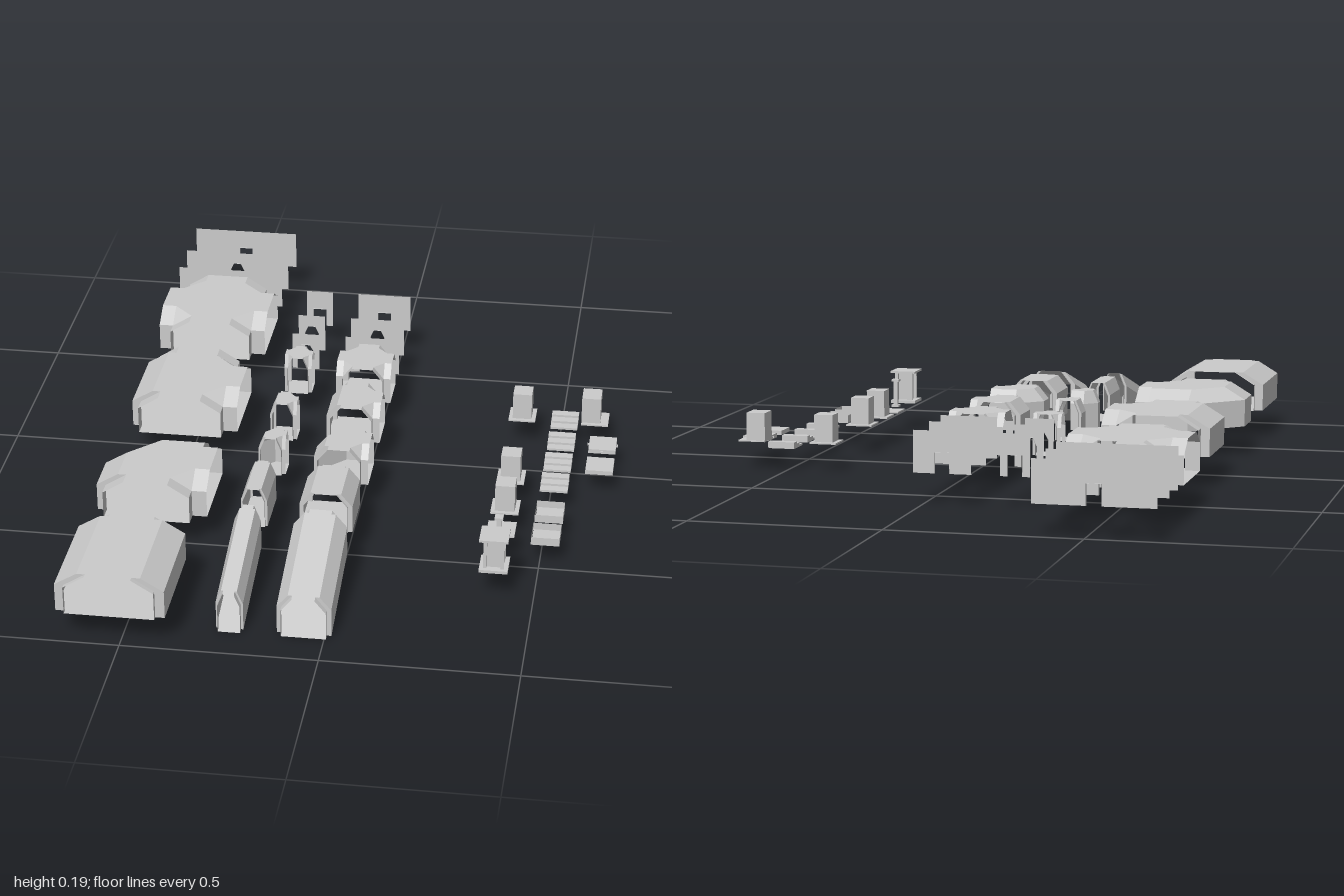
import * as THREE from 'three';

const grey = new THREE.MeshStandardMaterial({ color: 0xcccccc, flatShading: true, side: THREE.DoubleSide });
const Y0 = 0.08, Y1 = 0.155, Y2 = 0.19;            // floor, spring line, roof
const H = 0.153, B = 0.138, W = 0.114, C = 0.058, K = 0.08, E = 0.14;

// Flat-sided mesh from a list of convex polygons
function polyMesh(name, polys) {
  const v = [];
  for (const p of polys)
    for (let i = 1; i < p.length - 1; i++) v.push(...p[0], ...p[i], ...p[i + 1]);
  const g = new THREE.BufferGeometry();
  g.setAttribute('position', new THREE.Float32BufferAttribute(v, 3));
  g.computeVertexNormals();
  const m = new THREE.Mesh(g, grey);
  m.name = name;
  return m;
}

// Plan loops: [outerX, outerZ, innerX, innerZ, startsAnOpening]
const cross = [];
for (let q = 0; q < 4; q++) {
  const c = Math.round(Math.cos(q * Math.PI / 2)), s = Math.round(Math.sin(q * Math.PI / 2));
  const turn = (x, z) => [x * c - z * s, x * s + z * c];
  cross.push([...turn(W, -W), ...turn(W, -C), 1], [...turn(W, W), ...turn(W, C), 0]);
}
const tee = [
  ...cross.slice(0, 4),
  [-B, W, -K, W, 0], [-B, -W, -K, -W, 0],
  ...cross.slice(6),
];
const corner = [
  ...cross.slice(0, 4),
  [-B, W, -K, W, 0], [-B, 0, -K, 0, 0], [0, -B, 0, -K, 0], [W, -B, W, -K, 0],
];
const straight = [
  [B, -E, K, -E, 0], [B, E, K, E, 0],
  [W, E, C, E, 1], [-W, E, -C, E, 0],
  [-B, E, -K, E, 0], [-B, -E, -K, -E, 0],
  [-W, -E, -C, -E, 1], [W, -E, C, -E, 0],
];

// Vaulted passage: walls, sloped shoulders, roof, floor and short mouth at each opening
function chamber(name, loop, x, z, sx, sz = sx, drop = 0) {
  const P = (px, y, pz) => [x + px * sx, y - drop * (pz + H) / (2 * H), z + pz * sz];
  const polys = [
    loop.map(p => P(p[2], Y2, p[3])),
    loop.map(p => P(p[0], Y0, p[1])),
  ];
  loop.forEach((a, i) => {
    const b = loop[(i + 1) % loop.length];
    if (!a[4]) {
      polys.push([P(a[0], Y0, a[1]), P(b[0], Y0, b[1]), P(b[0], Y1, b[1]), P(a[0], Y1, a[1])]);
      polys.push([P(a[0], Y1, a[1]), P(b[0], Y1, b[1]), P(b[2], Y2, b[3]), P(a[2], Y2, a[3])]);
      return;
    }
    const alongX = Math.abs(a[0] - b[0]) < 1e-6;
    const out = p => alongX ? [Math.sign(p[0]) * H, p[1]] : [p[0], Math.sign(p[1]) * H];
    const ring = [[a[0], Y0, a[1]], [a[0], Y1, a[1]], [a[2], Y2, a[3]],
      [b[2], Y2, b[3]], [b[0], Y1, b[1]], [b[0], Y0, b[1]]];
    ring.forEach((p, j) => {
      const n = ring[(j + 1) % 6], po = out([p[0], p[2]]), no = out([n[0], n[2]]);
      polys.push([P(...p), P(...n), P(no[0], n[1], no[1]), P(po[0], p[1], po[1])]);
    });
  });
  return polyMesh(name, polys);
}

// Thin end wall with a framed doorway
function doorWall(name, x, z, width, half, height, arched) {
  const group = new THREE.Group();
  group.name = name;
  const h = half, t = height;
  const door = arched
    ? [[-h, 0], [-h, t * 0.72], [-h * 0.5, t], [h * 0.5, t], [h, t * 0.72], [h, 0]]
    : [[-h, 0], [-h, t], [h, t], [h, 0]];
  const pts = [[-width / 2, 0], ...door, [width / 2, 0], [width / 2, 0.11], [-width / 2, 0.11]];
  const panel = new THREE.Mesh(new THREE.ShapeGeometry(
    new THREE.Shape(pts.map(p => new THREE.Vector2(...p)))), grey);
  panel.name = 'wallPanel';
  const d = 0.004;
  const frame = polyMesh('doorFrame', door.slice(1).map((b, i) => {
    const a = door[i];
    return [[...a, -d], [...b, -d], [...b, d], [...a, d]];
  }));
  group.add(panel, frame);
  group.position.set(x, Y0, z);
  return group;
}

function box(name, w, h, d, x, y, z) {
  const m = new THREE.Mesh(new THREE.BoxGeometry(w, h, d), grey);
  m.name = name;
  m.position.set(x, y + h / 2, z);
  return m;
}

export function createModel() {
  const model = new THREE.Group();
  model.name = 'tunnelKit';

  // Large chambers
  model.add(
    chamber('largeCrossing', cross, -0.523, -0.537, 1),
    chamber('largeJunction', tee, -0.523, -0.08, 1),
    chamber('largeCorner', corner, -0.523, 0.377, 1),
    chamber('largeStraight', straight, -0.523, 0.843, 1));

  // Wide and narrow passages share the plan at half and quarter scale
  for (const [label, x, s, zs] of [
    ['wide', -0.052, 0.5, [-0.241, -0.013, 0.215]],
    ['narrow', -0.24, 0.25, [-0.243, 0.026, 0.217]],
  ]) {
    model.add(
      chamber(label + 'Crossing', cross, x, zs[0], s),
      chamber(label + 'Junction', tee, x, zs[1], s),
      chamber(label + 'Corner', corner, x, zs[2], s),
      chamber(label + 'Straight', straight, x, 0.447, s, 0.5),
      chamber(label + 'Ramp', straight, x, 0.752, s, 1, 0.08));
  }

  // Three door walls for each passage size
  for (const [label, x, width, z, wideHalf] of [
    ['large', -0.523, 0.307, [-0.73, -0.845, -0.998], 0.036],
    ['wide', -0.05, 0.153, [-0.355, -0.47, -0.625], 0.036],
    ['narrow', -0.24, 0.077, [-0.355, -0.47, -0.625], 0.024],
  ]) {
    model.add(
      doorWall(label + 'WallBroadArch', x, z[0], width, wideHalf, 0.077, true),
      doorWall(label + 'WallSlimArch', x, z[1], width, 0.02, 0.077, true),
      doorWall(label + 'WallDoor', x, z[2], width, 0.019, 0.055, false));
  }

  // Pillar with base, capital and corner shafts
  const pillar = new THREE.Group();
  pillar.name = 'pillar';
  pillar.add(box('base', 0.074, 0.008, 0.074, 0, 0, 0), box('capital', 0.074, 0.006, 0.074, 0, 0.089, 0),
    box('core', 0.036, 0.09, 0.036, 0, 0, 0));
  for (const i of [-1, 1]) for (const j of [-1, 1])
    pillar.add(box('shaft', 0.009, 0.09, 0.009, i * 0.022, 0, j * 0.022));
  pillar.position.set(0.397, Y0, 0.632);
  model.add(pillar);

  // Slim post
  model.add(box('postBase', 0.022, 0.006, 0.022, 0.397, Y0, 0.522),
    box('postShaft', 0.012, 0.08, 0.012, 0.397, Y0, 0.522),
    box('postCap', 0.022, 0.006, 0.022, 0.397, 0.155, 0.522));

  // Upright blocks on floor plates
  for (const [x, z] of [[0.397, 0.333], [0.397, 0.175], [0.397, -0.17]])
    model.add(box('blockPlate', 0.074, 0.004, 0.074, x, Y0 - 0.004, z),
      box('uprightBlock', 0.052, 0.075, 0.052, x, Y0, z));
  model.add(box('uprightBlock', 0.052, 0.075, 0.06, 0.587, Y0, -0.175),
    box('blockPlate', 0.074, 0.004, 0.074, 0.598, Y0 - 0.004, -0.172));
  model.add(box('floorPlate', 0.074, 0.004, 0.074, 0.397, Y0 - 0.004, 0.447));

  // Floor trays and thin tiles
  for (const z of [0.447, 0.333])
    model.add(polyMesh('floorTray', [-1, 1].flatMap(s => {
      const x = 0.514, r = 0.037;
      return [
        [[x - r, 0.06, z + s * r], [x + r, 0.06, z + s * r], [x + r, 0.082, z + s * r], [x - r, 0.082, z + s * r]],
        [[x + s * r, 0.06, z - r], [x + s * r, 0.06, z + r], [x + s * r, 0.082, z + r], [x + s * r, 0.082, z - r]],
      ];
    })), box('trayFloor', 0.072, 0.003, 0.072, 0.514, 0.06, z));

  // Shallow steps
  for (const z of [0.175, 0.065, -0.05, -0.17])
    for (let i = 0; i < 3; i++)
      model.add(box('step', 0.074, 0.006 * (i + 1), 0.0246, 0.514, 0.06, z + (1 - i) * 0.0246));

  // Floor tiles, one with edge pegs
  for (const z of [0.065, -0.05]) model.add(box('floorTile', 0.074, 0.012, 0.074, 0.627, 0.06, z));
  model.add(box('tilePegs', 0.084, 0.005, 0.006, 0.627, 0.064, -0.05),
    box('tilePegs', 0.006, 0.005, 0.084, 0.627, 0.064, -0.05));

  return model;
}
